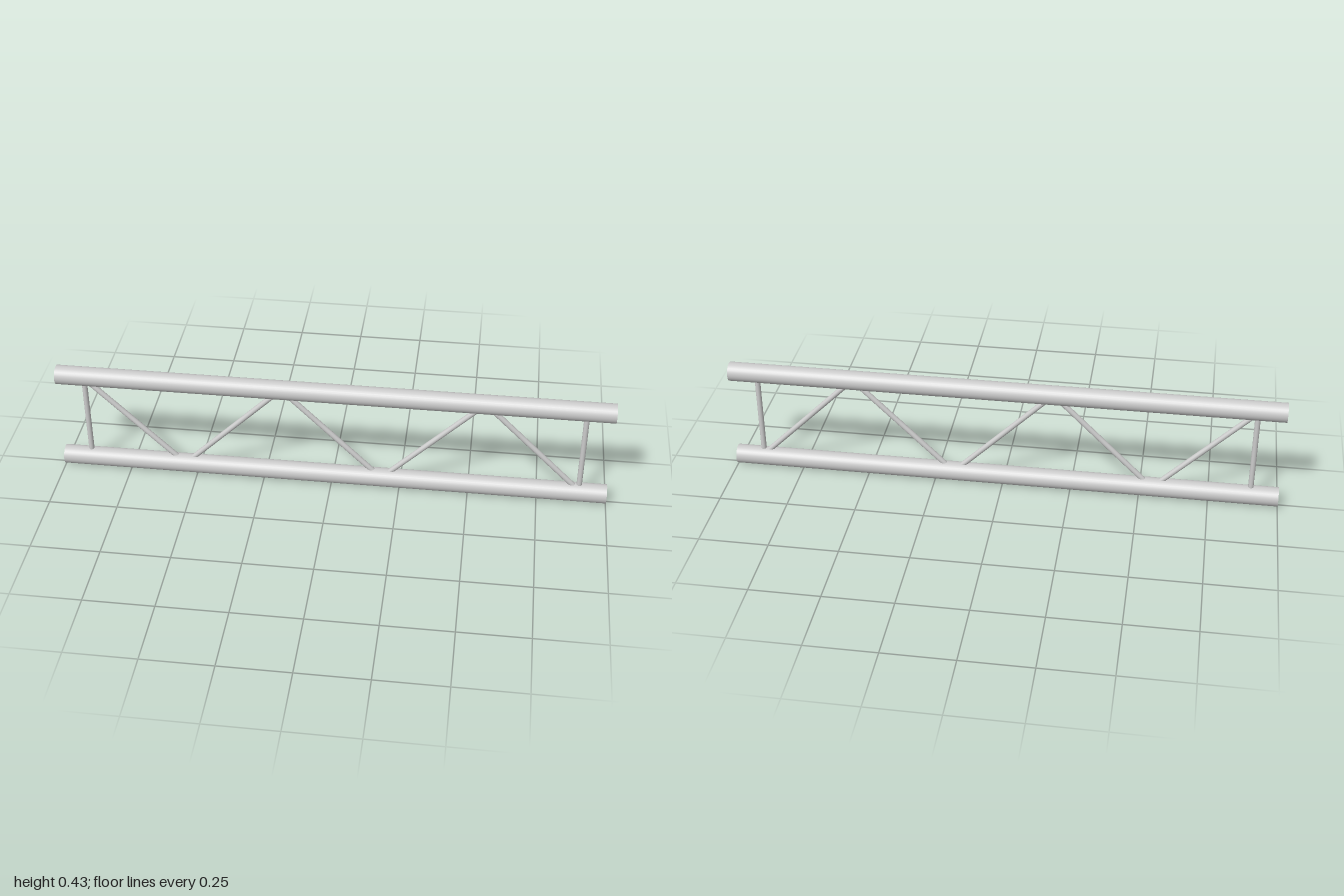
import * as THREE from 'three';

export function createModel() {
  const group = new THREE.Group();
  const material = new THREE.MeshStandardMaterial({ color: 0xcccccc, side: THREE.DoubleSide });

  // Open tube between two points in the z = 0 plane
  function tube(name, x1, y1, x2, y2, radius, segments) {
    const a = new THREE.Vector3(x1, y1, 0);
    const b = new THREE.Vector3(x2, y2, 0);
    const dir = b.clone().sub(a);
    const geometry = new THREE.CylinderGeometry(radius, radius, dir.length(), segments, 1, true);
    const mesh = new THREE.Mesh(geometry, material);
    mesh.position.copy(a).add(b).multiplyScalar(0.5);
    mesh.quaternion.setFromUnitVectors(new THREE.Vector3(0, 1, 0), dir.normalize());
    mesh.name = name;
    group.add(mesh);
  }

  const chordR = 0.035, braceR = 0.0098;
  const lowY = chordR, highY = 0.39;

  // Main chords
  tube('bottomChord', -1, lowY, 1, lowY, chordR, 32);
  tube('topChord', -1, highY, 1, highY, chordR, 32);

  // Upright struts near both ends
  for (const side of [-1, 1]) {
    tube(side < 0 ? 'rightUpright' : 'leftUpright', side * 0.9, 0.065, side * 0.9, 0.358, braceR, 20);
  }

  // Zigzag diagonal braces, alternating falling and rising
  const spacing = 0.364, halfRun = 0.176;
  for (let i = 0; i < 5; i++) {
    const x = (i - 2) * spacing;
    const run = i % 2 === 0 ? halfRun : -halfRun;
    tube('diagonalBrace' + (i + 1), x + run, 0.038, x - run, 0.385, braceR, 20);
  }
  return group;
}
